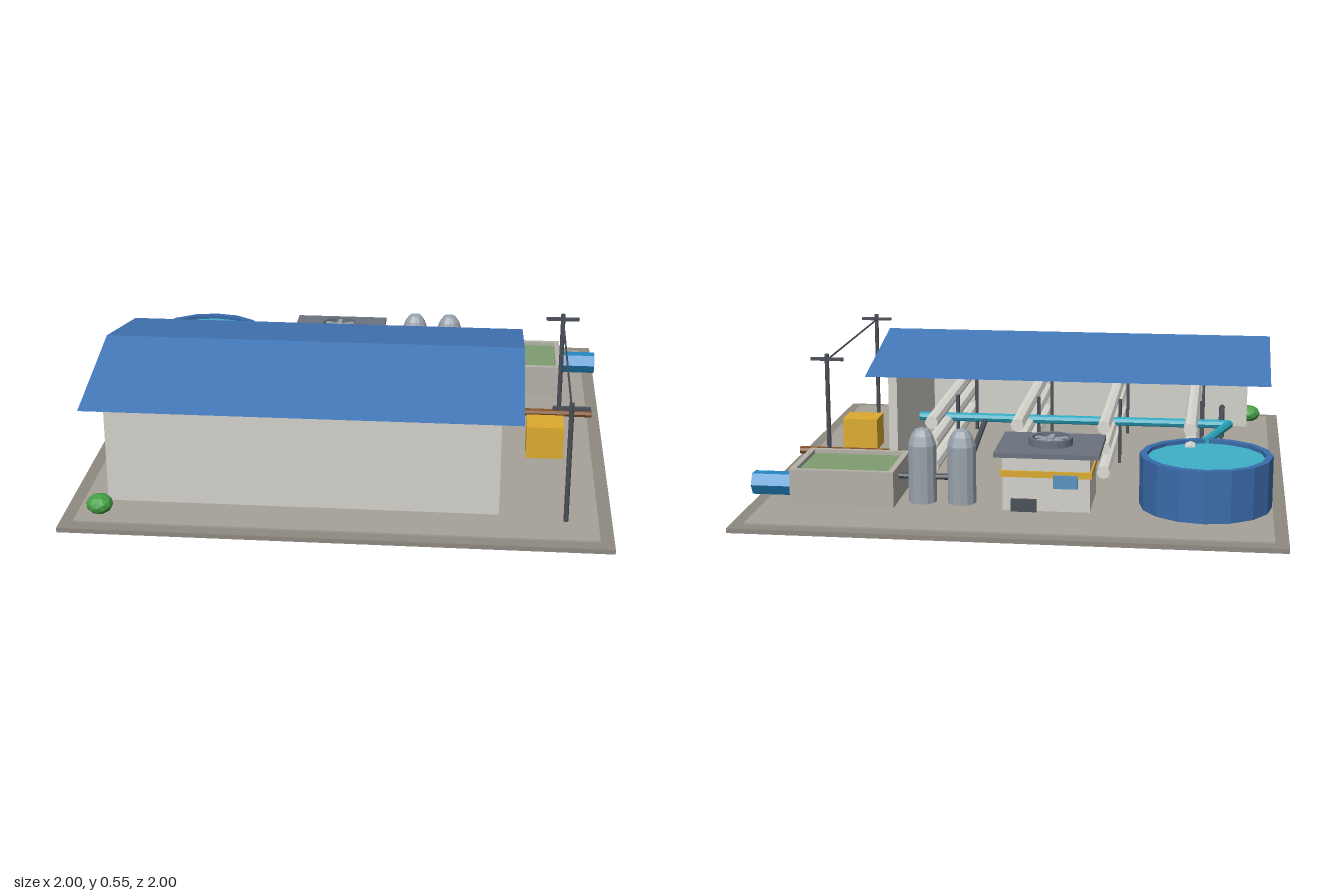
import * as THREE from 'three';

const mat = (color) => new THREE.MeshStandardMaterial({ color, flatShading: true });
const M = {
  slab: mat(0x8f8a82), pad: mat(0xa8a298), wall: mat(0xd2d1ca), roof: mat(0x4477b8),
  tank: mat(0x3a6cab), water: mat(0x3fb0c8), dark: mat(0x4a4f57), steel: mat(0x9aa3ad),
  slate: mat(0x6b7380), yellow: mat(0xdcab2e), brown: mat(0x7d4b20), concrete: mat(0xb4b1a8),
  algae: mat(0x809c70), pipe: mat(0x2487c4), teal: mat(0x2aa5bd), green: mat(0x46a046),
  membrane: mat(0xdcdad4), glass: mat(0x5b93c4),
};

export function createModel() {
  const root = new THREE.Group();
  const add = (name, geo, m, x = 0, y = 0, z = 0, parent = root) => {
    const mesh = new THREE.Mesh(geo, m);
    mesh.name = name;
    mesh.position.set(x, y, z);
    parent.add(mesh);
    return mesh;
  };
  // box given by its min and max on each axis
  const box = (name, m, x0, x1, y0, y1, z0, z1) =>
    add(name, new THREE.BoxGeometry(x1 - x0, y1 - y0, z1 - z0), m, (x0 + x1) / 2, (y0 + y1) / 2, (z0 + z1) / 2);
  // straight round bar between two points
  const bar = (name, m, a, b, r, sides = 8) => {
    const A = new THREE.Vector3(...a), B = new THREE.Vector3(...b), d = B.clone().sub(A);
    const mesh = add(name, new THREE.CylinderGeometry(r, r, d.length(), sides), m, ...A.add(B).multiplyScalar(0.5).toArray());
    mesh.quaternion.setFromUnitVectors(new THREE.Vector3(0, 1, 0), d.normalize());
    return mesh;
  };
  const lathe = (name, m, pts, sides, x, z) =>
    add(name, new THREE.LatheGeometry(pts.map((p) => new THREE.Vector2(...p)), sides), m, x, 0, z);

  // ground
  box('groundSlab', M.slab, -1, 1, 0.04, 0.058, -1, 1);
  box('groundPad', M.pad, -0.95, 0.95, 0.05, 0.064, -0.95, 0.95);

  // hall, open at the back and at the right end
  box('frontWall', M.wall, -0.86, 0.555, 0.06, 0.45, 0.735, 0.77);
  box('sideWall', M.wall, 0.555, 0.59, 0.06, 0.45, -0.1, 0.77);
  const gable = new THREE.Shape([[-0.83, 0.445], [0.17, 0.445], [-0.33, 0.552]].map((p) => new THREE.Vector2(...p)));
  const roof = add('hallRoof', new THREE.ExtrudeGeometry(gable, { depth: 1.61, bevelEnabled: false }), M.roof, -0.94);
  roof.rotation.y = Math.PI / 2;

  // racks of filter tubes, three tiers in four columns
  for (const x of [-0.635, -0.305, 0.03, 0.365]) {
    for (const y of [0.135, 0.23, 0.313]) bar('filterTube', M.membrane, [x, y, -0.37], [x, y, 0.66], 0.026, 8);
    for (const z of [0.05, 0.55]) box('rackPost', M.dark, x - 0.04, x - 0.028, 0.06, 0.33, z - 0.01, z + 0.01);
  }
  bar('headerPipe', M.teal, [0.48, 0.25, 0], [-0.78, 0.25, 0], 0.018);
  bar('tankFeedPipe', M.teal, [-0.78, 0.25, 0], [-0.69, 0.25, -0.3], 0.018);
  bar('drainPipe', M.dark, [-0.75, 0.2, 0], [-0.75, 0.2, 0.52], 0.012);

  // round water tank
  lathe('waterTank', M.tank, [[0, 0.06], [0.248, 0.06], [0.248, 0.26], [0.222, 0.26], [0.222, 0.22]], 16, -0.7, -0.52);
  add('tankWater', new THREE.CylinderGeometry(0.224, 0.224, 0.01, 16), M.water, -0.7, 0.24, -0.52);

  // pump house with roof fan
  box('pumpHouse', M.wall, -0.28, 0.045, 0.06, 0.275, -0.675, -0.4);
  box('pumpHouseBand', M.yellow, -0.287, 0.052, 0.193, 0.217, -0.682, -0.393);
  box('pumpHouseRoof', M.slate, -0.315, 0.075, 0.27, 0.288, -0.7, -0.375);
  box('pumpHouseDoor', M.dark, -0.083, 0.012, 0, 0.11, -0.693, -0.67);
  box('pumpHouseWindow', M.glass, -0.235, -0.145, 0.155, 0.205, -0.69, -0.67);
  lathe('fanRing', M.slate, [[0.07, 0.285], [0.084, 0.285], [0.084, 0.315], [0.07, 0.315], [0.07, 0.285]], 16, -0.12, -0.54);
  add('fanBase', new THREE.CylinderGeometry(0.075, 0.075, 0.006, 16), M.dark, -0.12, 0.291, -0.54);
  const fan = new THREE.Group();
  fan.name = 'fan';
  fan.position.set(-0.12, 0.305, -0.54);
  root.add(fan);
  add('fanHub', new THREE.CylinderGeometry(0.016, 0.016, 0.02, 8), M.steel, 0, 0, 0, fan);
  for (let i = 0; i < 3; i++) {
    const blade = add('fanBlades', new THREE.BoxGeometry(0.14, 0.006, 0.018), M.steel, 0, 0, 0, fan);
    blade.rotation.y = (i * Math.PI) / 3 + Math.PI / 6;
  }

  // pair of silos with their pipes
  for (const x of [0.21, 0.36]) {
    lathe('silo', M.steel, [[0, 0.06], [0.054, 0.06], [0.054, 0.285], [0.042, 0.32], [0.026, 0.342], [0, 0.35]], 12, x, -0.59);
  }
  bar('siloLinkPipe', M.dark, [0.21, 0.16, -0.59], [0.47, 0.16, -0.59], 0.012);
  bar('siloFeedPipe', M.dark, [0.21, 0.16, -0.48], [0.21, 0.24, 0], 0.012);

  // settling basin with outlet
  box('basinBackWall', M.concrete, 0.45, 0.845, 0.06, 0.2, -0.7, -0.68);
  box('basinFrontWall', M.concrete, 0.45, 0.845, 0.06, 0.2, -0.397, -0.375);
  box('basinRightWall', M.concrete, 0.45, 0.472, 0.06, 0.2, -0.68, -0.397);
  box('basinLeftWall', M.concrete, 0.823, 0.845, 0.06, 0.2, -0.68, -0.397);
  box('basinFill', M.algae, 0.47, 0.825, 0.06, 0.185, -0.682, -0.395);
  bar('outletPipe', M.pipe, [0.82, 0.128, -0.635], [1, 0.128, -0.635], 0.046, 6);

  // side yard: intake pipe and cabinet
  bar('intakePipe', M.brown, [0.55, 0.113, -0.088], [0.965, 0.113, -0.088], 0.016);
  box('yardCabinet', M.yellow, 0.692, 0.838, 0.06, 0.195, 0.132, 0.262);

  // power line
  for (const z of [0.8, -0.135]) {
    bar('powerPole', M.dark, [0.832, 0.06, z], [0.832, 0.527, z], 0.009);
    box('poleCrossbar', M.dark, 0.765, 0.898, 0.5, 0.512, z - 0.007, z + 0.007);
  }
  bar('powerWire', M.dark, [0.832, 0.503, 0.8], [0.832, 0.503, -0.135], 0.004, 5);

  // shrubs
  for (const [x, z, r] of [[-0.87, 0.865, 0.05], [-0.9, 0.08, 0.032]]) {
    const shrub = add('shrub', new THREE.IcosahedronGeometry(r, 1), M.green, x, 0.06 + r * 0.7, z);
    shrub.scale.y = 0.75;
  }
  return root;
}
